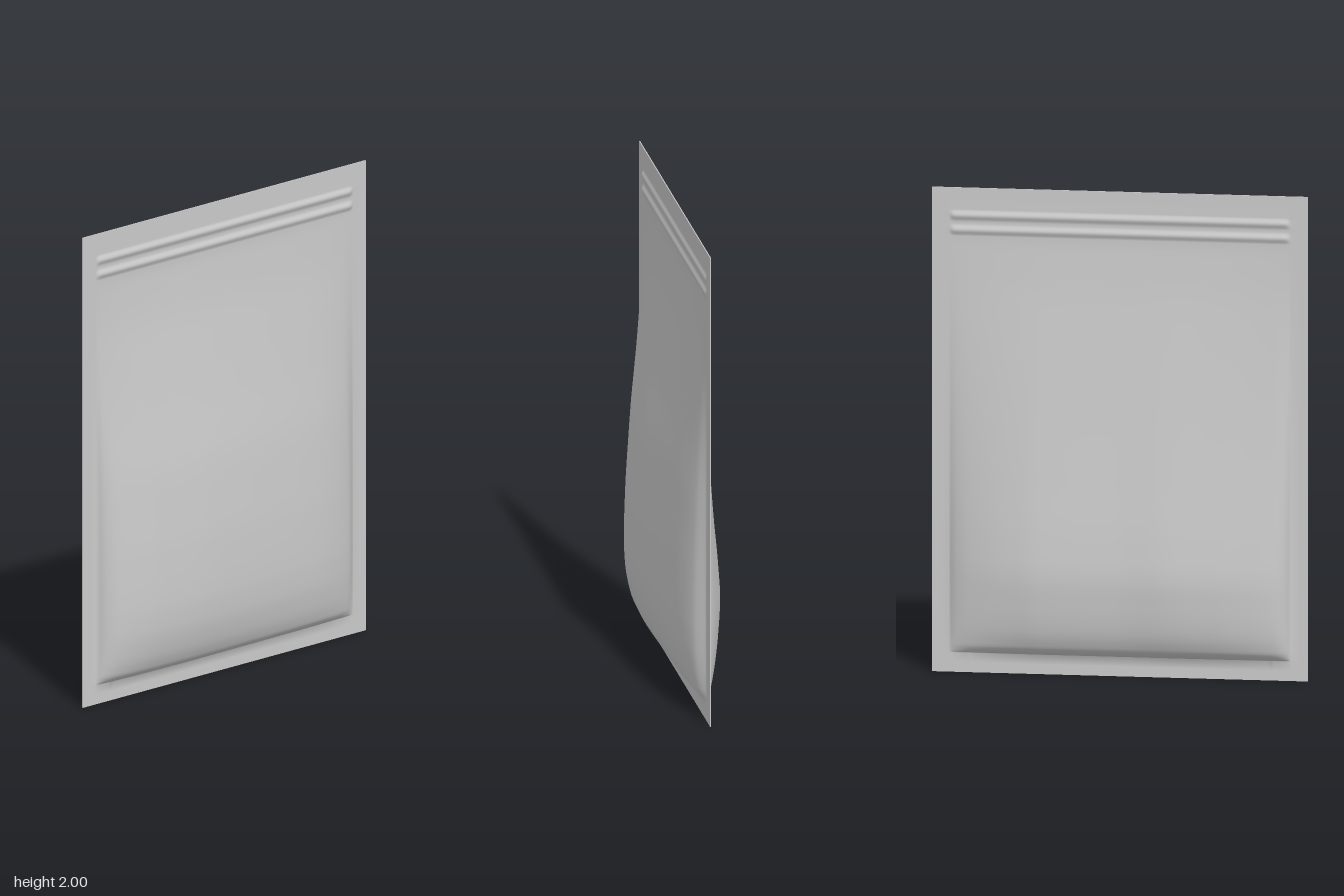
import * as THREE from 'three';

const W = 0.77, H = 2, FILM = 0.002;

// Smooth interpolation through [position, value] pairs (zero outside the range)
function profile(points) {
  const n = points.length;
  const step = (i) => (points[i + 1][1] - points[i][1]) / (points[i + 1][0] - points[i][0]);
  const slope = points.map((p, i) => {
    if (i === 0) return step(0);
    if (i === n - 1) return step(n - 2);
    const a = step(i - 1), b = step(i);
    return a * b <= 0 ? 0 : (2 * a * b) / (a + b);
  });
  return (v) => {
    if (v <= points[0][0] || v >= points[n - 1][0]) return 0;
    let i = 0;
    while (v > points[i + 1][0]) i++;
    const [x0, y0] = points[i], [x1, y1] = points[i + 1];
    const h = x1 - x0, t = (v - x0) / h, t2 = t * t, t3 = t2 * t;
    return y0 * (2 * t3 - 3 * t2 + 1) + h * slope[i] * (t3 - 2 * t2 + t)
      + y1 * (3 * t2 - 2 * t3) + h * slope[i + 1] * (t3 - t2);
  };
}

// Bulge across the width (normalised below) and up the height, per side
const front = {
  across: profile([[-0.7, 0], [-0.685, 0.035], [-0.64, 0.075], [-0.56, 0.102], [-0.45, 0.121], [-0.22, 0.13],
    [0, 0.121], [0.2, 0.109], [0.44, 0.09], [0.56, 0.07], [0.64, 0.045], [0.7, 0]]),
  up: profile([[0.08, 0], [0.087, 0.03], [0.12, 0.075], [0.2, 0.107], [0.3, 0.125], [0.4, 0.13], [0.6, 0.124],
    [0.8, 0.109], [0.95, 0.095], [1.2, 0.06], [1.4, 0.034], [1.6, 0.011], [1.76, 0]]),
  peak: 0.13,
};
const back = {
  across: profile([[-0.7, 0], [-0.685, 0.035], [-0.64, 0.073], [-0.5, 0.106], [-0.4, 0.12], [-0.2, 0.134],
    [0, 0.123], [0.2, 0.122], [0.33, 0.119], [0.44, 0.101], [0.6, 0.057], [0.67, 0.025], [0.7, 0]]),
  up: profile([[0.08, 0], [0.087, 0.03], [0.12, 0.075], [0.2, 0.107], [0.3, 0.123], [0.42, 0.132], [0.55, 0.123],
    [0.8, 0.095], [1, 0.072], [1.2, 0.05], [1.4, 0.029], [1.6, 0.01], [1.76, 0]]),
  peak: 0.134,
};

// Two raised zip beads that fade out at the side seals
function zip(x, y) {
  const fade = THREE.MathUtils.clamp((0.7 - Math.abs(x)) / 0.02, 0, 1);
  return [1.825, 1.885].reduce((sum, c) => {
    const d = Math.abs(y - c) / 0.025;
    return sum + (d < 1 ? 0.008 * fade * Math.cos(d * Math.PI / 2) ** 2 : 0);
  }, 0);
}

// Subdivide [start, end, count] spans into one list of grid lines
function lines(...spans) {
  const out = [spans[0][0]];
  for (const [a, b, n] of spans) for (let i = 1; i <= n; i++) out.push(a + (b - a) * i / n);
  return out;
}
const xs = lines([-W, -0.7, 2], [-0.7, -0.62, 10], [-0.62, 0.62, 48], [0.62, 0.7, 10], [0.7, W, 2]);
const ys = lines([0, 0.08, 2], [0.08, 0.13, 10], [0.13, 0.4, 14], [0.4, 1.76, 44], [1.76, 1.8, 2],
  [1.8, 1.91, 22], [1.91, H, 2]);

// One film panel; side is +1 for the front and -1 for the back
function panel(shape, side) {
  const pos = [], index = [];
  for (const y of ys) for (const x of xs) {
    const bulge = shape.across(x) * shape.up(y) / shape.peak;
    pos.push(x, y, side * (FILM + bulge + zip(x, y)));
  }
  const n = xs.length;
  for (let j = 0; j < ys.length - 1; j++) for (let i = 0; i < n - 1; i++) {
    const a = j * n + i, b = a + 1, c = a + n, d = c + 1;
    if (side > 0) index.push(a, b, d, a, d, c);
    else index.push(a, d, b, a, c, d);
  }
  const geo = new THREE.BufferGeometry();
  geo.setAttribute('position', new THREE.Float32BufferAttribute(pos, 3));
  geo.setIndex(index);
  geo.computeVertexNormals();
  return geo;
}

export function createModel() {
  const group = new THREE.Group();
  group.name = 'zipPouch';
  const material = new THREE.MeshStandardMaterial({ color: 0xcccccc, side: THREE.DoubleSide });
  const add = (name, geo) => {
    const mesh = new THREE.Mesh(geo, material);
    mesh.name = name;
    group.add(mesh);
    return mesh;
  };

  add('frontPanel', panel(front, 1));
  add('backPanel', panel(back, -1));

  // Thin cut edges joining the two panels
  for (const s of [-1, 1]) {
    const side = add(s > 0 ? 'leftEdge' : 'rightEdge', new THREE.PlaneGeometry(2 * FILM, H));
    side.rotation.y = s * Math.PI / 2;
    side.position.set(s * W, H / 2, 0);
    const end = add(s > 0 ? 'topEdge' : 'bottomEdge', new THREE.PlaneGeometry(2 * W, 2 * FILM));
    end.rotation.x = -s * Math.PI / 2;
    end.position.y = s > 0 ? H : 0;
  }
  return group;
}
